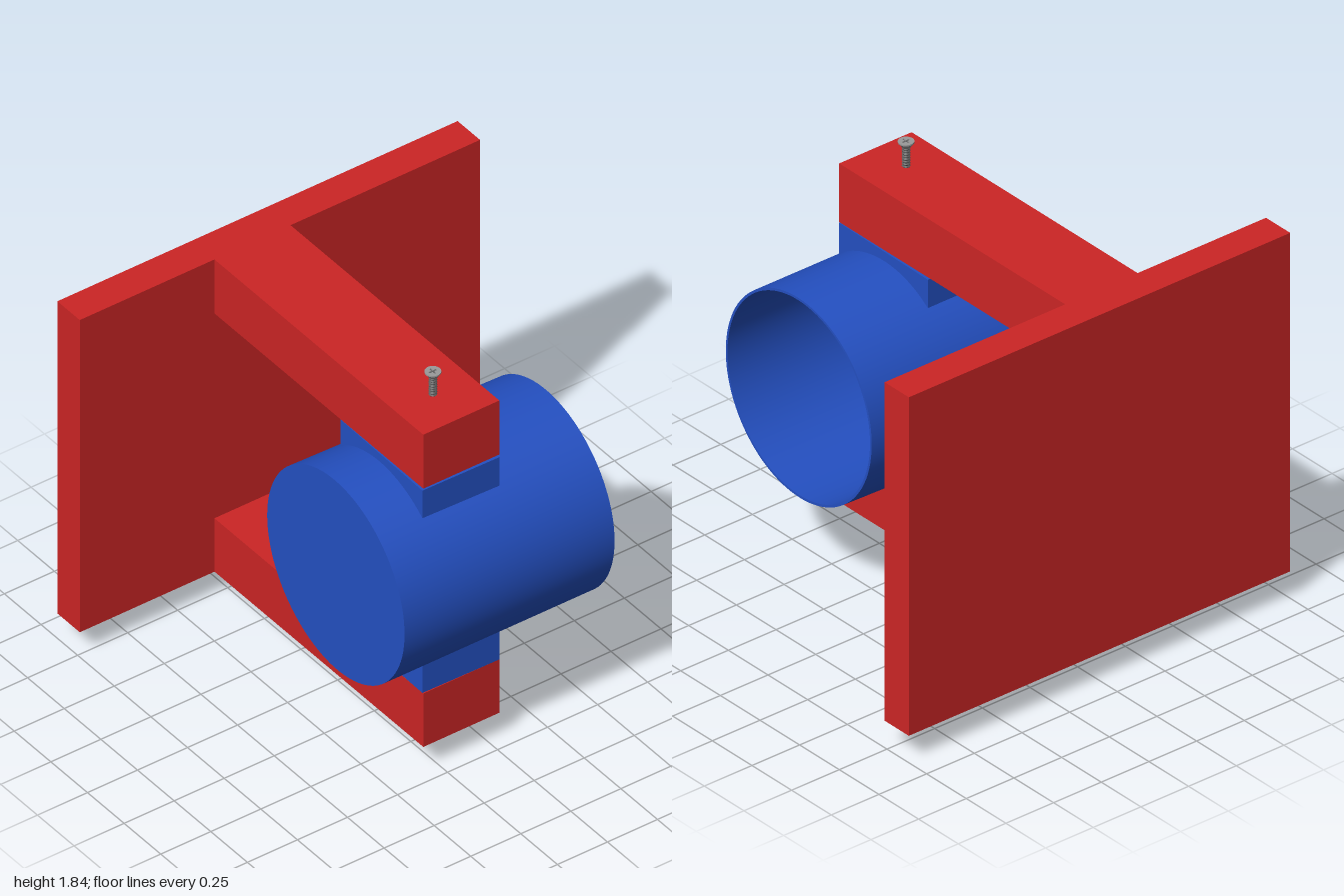
import * as THREE from 'three';
import { toCreasedNormals } from 'three/addons/utils/BufferGeometryUtils.js';

export function createModel() {
  const mat = (name, color) => Object.assign(new THREE.MeshStandardMaterial({ color }), { name });
  const red = mat('red paint', 0xcc2525);
  const blue = mat('blue plastic', 0x2450c2);
  const steel = mat('steel', 0x9a9a9a);
  const darkSteel = mat('dark steel', 0x5c5c5c);

  const model = new THREE.Group();
  model.name = 'cupBracket';
  const add = (parent, name, geometry, material) => {
    const mesh = new THREE.Mesh(geometry, material);
    mesh.name = name;
    parent.add(mesh);
    return mesh;
  };
  // box given by its lower and upper corners
  const box = (name, [x0, y0, z0], [x1, y1, z1]) =>
    add(model, name, new THREE.BoxGeometry(x1 - x0, y1 - y0, z1 - z0), red)
      .position.set((x0 + x1) / 2, (y0 + y1) / 2, (z0 + z1) / 2);
  const lathe = (points, segments) => toCreasedNormals(
    new THREE.LatheGeometry(points.map(([r, y]) => new THREE.Vector2(r, y)), segments), 0.6);

  // Back plate and the two arms
  box('backPlate', [-1, 0.127, -0.888], [1, 1.723, -0.735]);
  box('upperArm', [-0.327, 1.447, -0.735], [0.053, 1.723, 0.69]);
  box('lowerArm', [-0.327, 0.127, -0.735], [0.053, 0.4, 0.69]);

  // Cup lying on its side, open toward +x and turned slightly
  const holder = new THREE.Group();
  holder.name = 'cupHolder';
  holder.position.set(-0.137, 0.922, 0.4);
  holder.rotation.y = -0.0157;
  model.add(holder);
  const length = 1.045, rBase = 0.479, rRim = 0.469, wall = 0.011;
  const cup = lathe([[0, 0], [rBase, 0], [rRim, length], [rRim - wall, length],
    [rBase - wall, wall], [0, wall]], 96);
  cup.rotateZ(-Math.PI / 2).translate(-0.41, 0, 0);
  add(holder, 'cup', cup, blue);

  // Saddle pads, hollowed to fit the cup
  const front = -0.293, back = 0.277, top = 0.517, rPad = 0.469;
  const height = (u) => Math.sqrt(rPad * rPad - u * u);
  const saddle = new THREE.Shape();
  saddle.moveTo(back, top);
  saddle.lineTo(front, top);
  saddle.lineTo(front, height(front));
  saddle.absarc(0, 0, rPad, Math.atan2(height(front), front), Math.atan2(height(back), back), true);
  saddle.closePath();
  const pad = new THREE.ExtrudeGeometry(saddle, { depth: 0.38, bevelEnabled: false, curveSegments: 24 });
  pad.translate(0, 0, -0.19).rotateY(Math.PI / 2);
  add(holder, 'upperPad', pad, blue);
  add(holder, 'lowerPad', pad, blue).rotation.z = Math.PI;

  // Countersunk screw: origin at the top of the head
  const head = lathe([[0.015, -0.03], [0.034, -0.006], [0.034, -0.004]], 24);
  const disc = new THREE.Shape().absarc(0, 0, 0.034, 0, Math.PI * 2);
  const a = 0.004, b = 0.019;
  disc.holes.push(new THREE.Path([[a, a], [a, b], [-a, b], [-a, a], [-b, a], [-b, -a],
    [-a, -a], [-a, -b], [a, -b], [a, -a], [b, -a], [b, a]].map(([x, y]) => new THREE.Vector2(x, y))));
  const cap = new THREE.ExtrudeGeometry(disc, { depth: 0.006, bevelEnabled: false, curveSegments: 24 });
  cap.rotateX(-Math.PI / 2).translate(0, -0.006, 0);
  const recess = new THREE.CircleGeometry(0.03, 16).rotateX(-Math.PI / 2).translate(0, -0.005, 0);
  const thread = [[0, -0.425], [0.004, -0.425]];
  for (let y = -0.41; y < -0.03; y += 0.012) thread.push([0.013, y], [0.018, y + 0.006]);
  thread.push([0.013, -0.024]);
  const shaft = lathe(thread, 16);

  const makeScrew = (name, y, flip) => {
    const screw = new THREE.Group();
    screw.name = name;
    add(screw, 'screwHead', head, steel);
    add(screw, 'screwCap', cap, steel);
    add(screw, 'crossRecess', recess, darkSteel);
    add(screw, 'screwThread', shaft, darkSteel);
    screw.position.set(-0.14, y, 0.5);
    screw.rotation.x = flip ? Math.PI : 0;
    model.add(screw);
  };
  makeScrew('upperScrew', 1.843, false);
  makeScrew('lowerScrew', 0, true);

  return model;
}
